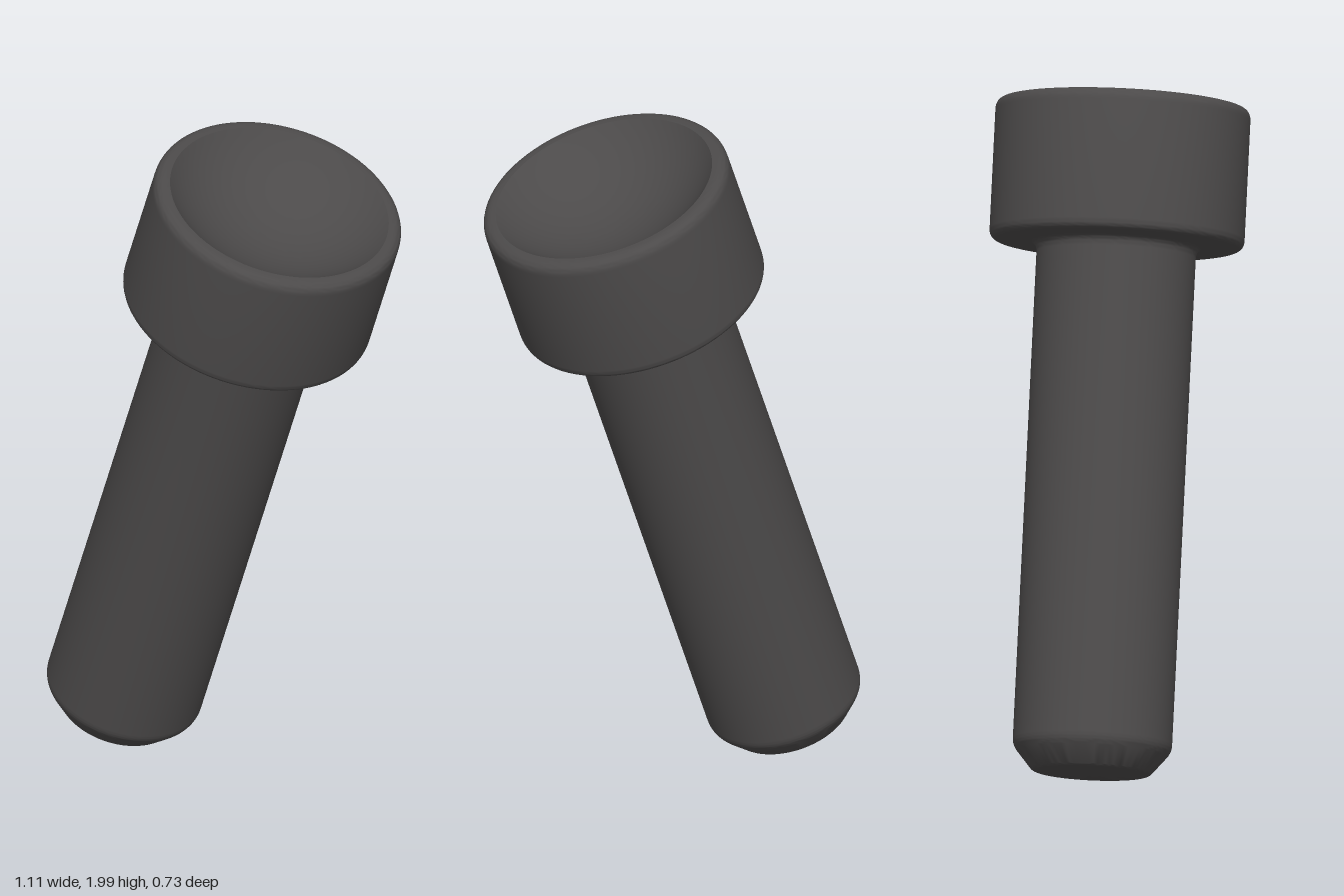
import * as THREE from 'three';
import { toCreasedNormals } from 'three/addons/utils/BufferGeometryUtils.js';

const material = new THREE.MeshStandardMaterial({ color: 0x4c4a4a });

// Turns [radius, height, rounding] corners into a profile with rounded corners
function roundedProfile(corners) {
  const path = new THREE.Path();
  const pts = corners.map(([r, y]) => new THREE.Vector2(r, y));
  path.moveTo(pts[0].x, pts[0].y);
  for (let i = 1; i < pts.length; i++) {
    const p = pts[i], cut = corners[i][2] || 0;
    if (!cut) { path.lineTo(p.x, p.y); continue; }
    const a = pts[i - 1].clone().sub(p).setLength(cut).add(p);
    const b = pts[i + 1].clone().sub(p).setLength(cut).add(p);
    path.lineTo(a.x, a.y);
    path.quadraticCurveTo(p.x, p.y, b.x, b.y);
  }
  return path.getPoints(8);
}

function turned(name, points) {
  const geometry = toCreasedNormals(new THREE.LatheGeometry(points, 96), 0.5);
  const mesh = new THREE.Mesh(geometry, material);
  mesh.name = name;
  return mesh;
}

export function createModel() {
  const model = new THREE.Group();
  model.name = 'peg';

  // Shaft with a chamfered foot and a small fillet under the head
  const shaft = turned('shaft', roundedProfile([
    [0, -0.06], [0.168, -0.06, 0.012], [0.228, 0.012, 0.02],
    [0.228, 1.465, 0.03], [0.28, 1.465],
  ]));

  // Head with rounded edges and a spherical dish in the top
  const top = 1.873, dishRadius = 0.322, dishDepth = 0.14;
  const sphere = (dishRadius ** 2 + dishDepth ** 2) / (2 * dishDepth);
  const rim = roundedProfile([
    [0.2, 1.465], [0.365, 1.465, 0.03], [0.365, top, 0.035], [dishRadius, top],
  ]);
  const edge = Math.asin(dishRadius / sphere);
  for (let i = 1; i <= 20; i++) {
    const a = edge * (1 - i / 20);
    rim.push(new THREE.Vector2(Math.max(0, sphere * Math.sin(a)),
      top - dishDepth + sphere * (1 - Math.cos(a))));
  }
  const head = turned('dishedHead', rim);

  // The whole peg leans to its left
  const leaning = new THREE.Group();
  leaning.name = 'leaningPeg';
  leaning.add(shaft, head);
  leaning.position.set(-0.341, 0.107, 0);
  leaning.rotation.z = THREE.MathUtils.degToRad(-17.3);
  model.add(leaning);
  return model;
}
